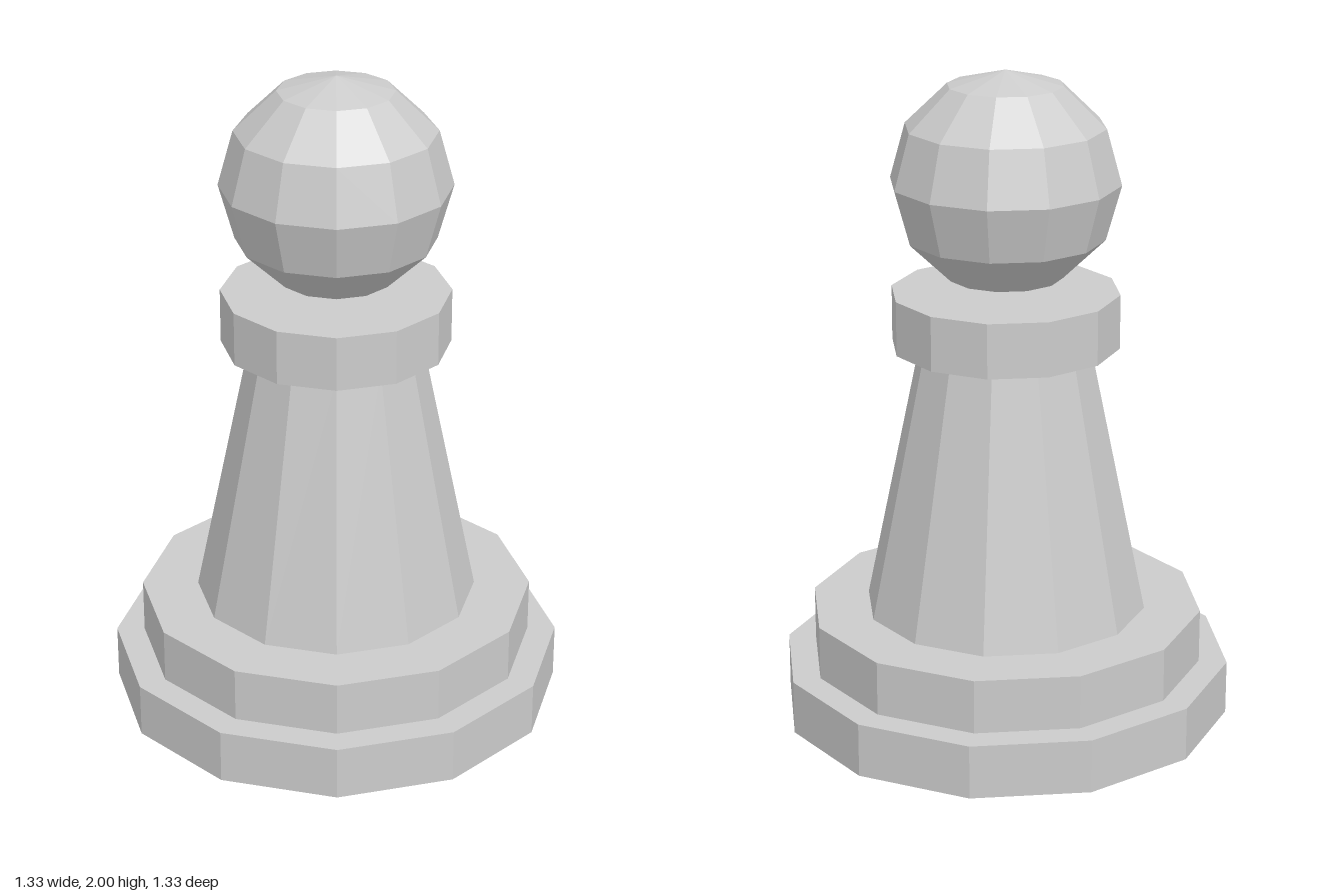
import * as THREE from 'three';

const SIDES = 12;
const TURN = Math.PI / SIDES; // flat sides face the axes
const FLAT = Math.cos(TURN); // flat-to-corner radius ratio

export function createModel() {
  const group = new THREE.Group();
  const material = new THREE.MeshStandardMaterial({ color: 0xcccccc, flatShading: true });

  function add(name, geometry, y) {
    geometry.rotateY(TURN);
    const mesh = new THREE.Mesh(geometry, material);
    mesh.name = name;
    mesh.position.y = y;
    group.add(mesh);
  }

  // Twelve-sided drum between two heights; radii measured to the flats
  function drum(name, rTop, rBottom, y0, y1) {
    add(name, new THREE.CylinderGeometry(rTop / FLAT, rBottom / FLAT, y1 - y0, SIDES), (y0 + y1) / 2);
  }

  // Stepped base, tapering body and collar
  drum('baseLower', 0.6667, 0.6667, 0, 0.1667);
  drum('baseUpper', 0.5833, 0.5833, 0.1667, 0.3333);
  drum('body', 0.25, 0.4167, 0.3333, 1.1667);
  drum('collar', 0.3333, 0.3333, 1.1667, 1.3333);

  // Faceted ball head resting on the collar
  const r = 0.3333;
  const head = new THREE.SphereGeometry(r, SIDES, 6);
  head.scale(1 / FLAT, 1, 1 / FLAT);
  add('head', head, 2 - r);

  return group;
}
